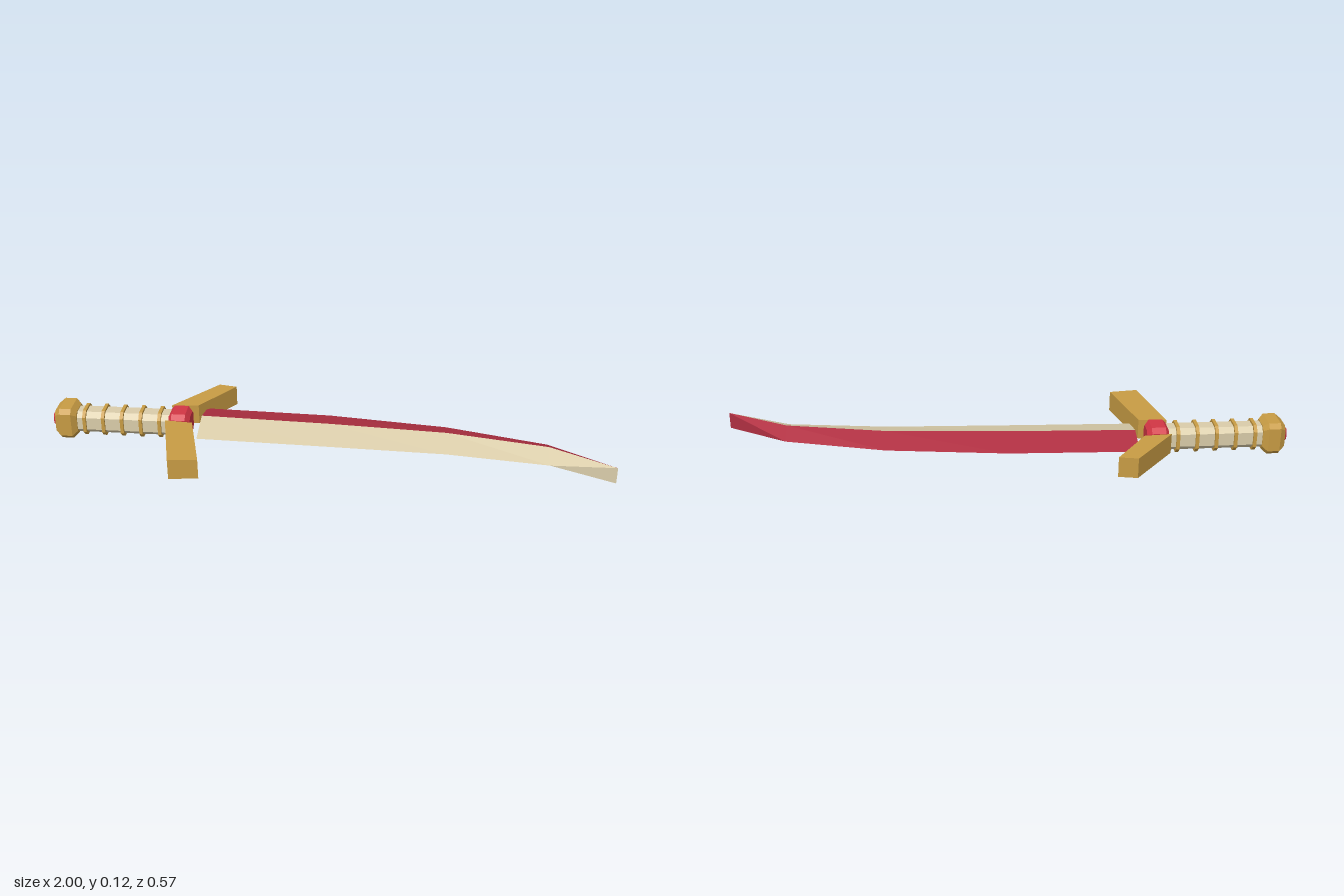
import * as THREE from 'three';

const mat = (name, color) => {
  const m = new THREE.MeshStandardMaterial({ color });
  m.name = name;
  return m;
};

// Skins cross-sections (listed toward +x, each running top, +z, bottom, -z).
// Only the listed sides are built, so one loft can be split by colour.
function loft(sections, sides) {
  const pos = [];
  const tri = (a, b, c) => {
    const n = b.clone().sub(a).cross(c.clone().sub(a));
    if (n.length() > 1e-8) for (const p of [a, b, c]) pos.push(p.x, p.y, p.z);
  };
  const count = sections[0].length;
  const last = sections.length - 1;
  const centre = (s) => s.reduce((t, p) => t.add(p), new THREE.Vector3()).divideScalar(count);
  const c0 = centre(sections[0]);
  const c1 = centre(sections[last]);
  for (const j of sides) {
    const k = (j + 1) % count;
    for (let i = 0; i < last; i++) {
      const s = sections[i], t = sections[i + 1];
      tri(s[j], s[k], t[k]);
      tri(s[j], t[k], t[j]);
    }
    tri(c0, sections[0][k], sections[0][j]);
    tri(c1, sections[last][j], sections[last][k]);
  }
  const g = new THREE.BufferGeometry();
  g.setAttribute('position', new THREE.Float32BufferAttribute(pos, 3));
  g.computeVertexNormals();
  return g;
}

const V = (x, y, z) => new THREE.Vector3(x, y, z);
const MID_Y = 0.06;
const GRIP_Z = -0.047;

// Square with cut corners across the handle axis
function cutSquare(x, h, cut) {
  const f = h - cut;
  return [[f, -h], [-f, -h], [-h, -f], [-h, f], [-f, h], [f, h], [h, f], [h, -f]]
    .map(([z, y]) => V(x, MID_Y - y, GRIP_Z - z));
}

export function createModel() {
  const model = new THREE.Group();
  const gold = mat('gold', 0xc89c44);
  const cream = mat('cream', 0xdacdaa);
  const bladeRed = mat('blade red', 0xb03042);
  const gemRed = mat('bright red', 0xd23644);

  const add = (name, geometry, material) => {
    const mesh = new THREE.Mesh(geometry, material);
    mesh.name = name;
    model.add(mesh);
  };
  const block = (name, material, rings) =>
    add(name, loft(rings.map((r) => cutSquare(...r)), [0, 1, 2, 3, 4, 5, 6, 7]), material);

  // Blade: diamond sections [x, back z, ridge z, front z]
  const diamonds = [
    [-0.457, -0.163, -0.05, 0.067],
    [0, -0.147, -0.03, 0.083],
    [0.425, -0.095, 0, 0.1],
    [0.78, 0, 0.07, 0.145],
  ].map(([x, back, ridge, front]) => [
    V(x, 0.09, ridge), V(x, MID_Y, front), V(x, 0.03, ridge), V(x, MID_Y, back),
  ]);
  // The tip closes on a short upright edge
  const tipTop = V(1, 0.09, 0.193);
  const tipLow = V(1, 0.03, 0.193);
  diamonds.push([tipTop, tipTop, tipLow, tipLow]);
  add('bladeFront', loft(diamonds, [0, 1]), cream);
  add('bladeBack', loft(diamonds, [2, 3]), bladeRed);

  // Handle
  block('pommelTip', gemRed, [[-1, 0.022, 0.01], [-0.98, 0.036, 0.014]]);
  block('pommel', gold, [
    [-0.988, 0.044, 0.014], [-0.968, 0.059, 0.016], [-0.926, 0.059, 0.016], [-0.908, 0.044, 0.014],
  ]);
  block('grip', cream, [[-0.92, 0.041, 0.018], [-0.57, 0.041, 0.018]]);
  for (let i = 0; i < 5; i++) {
    const x = -0.88 + i * 0.0688;
    block('gripRing', gold, [[x - 0.006, 0.049, 0.02], [x + 0.006, 0.049, 0.02]]);
  }
  block('collar', gemRed, [
    [-0.575, 0.036, 0.013], [-0.56, 0.051, 0.017], [-0.51, 0.051, 0.017], [-0.495, 0.036, 0.013],
  ]);

  // Guard arms: plan outlines in x, z raised to a slab
  const arm = (name, outline) => {
    const shape = new THREE.Shape(outline.map(([x, z]) => new THREE.Vector2(x, -z)));
    const g = new THREE.ExtrudeGeometry(shape, { depth: 0.074, bevelEnabled: false });
    g.rotateX(-Math.PI / 2);
    g.translate(0, 0.023, 0);
    add(name, g, gold);
  };
  arm('guardBack', [[-0.577, -0.106], [-0.48, -0.114], [-0.364, -0.275], [-0.43, -0.288]]);
  arm('guardFront', [[-0.58, 0.009], [-0.48, 0.018], [-0.414, 0.274], [-0.516, 0.286]]);

  return model;
}
